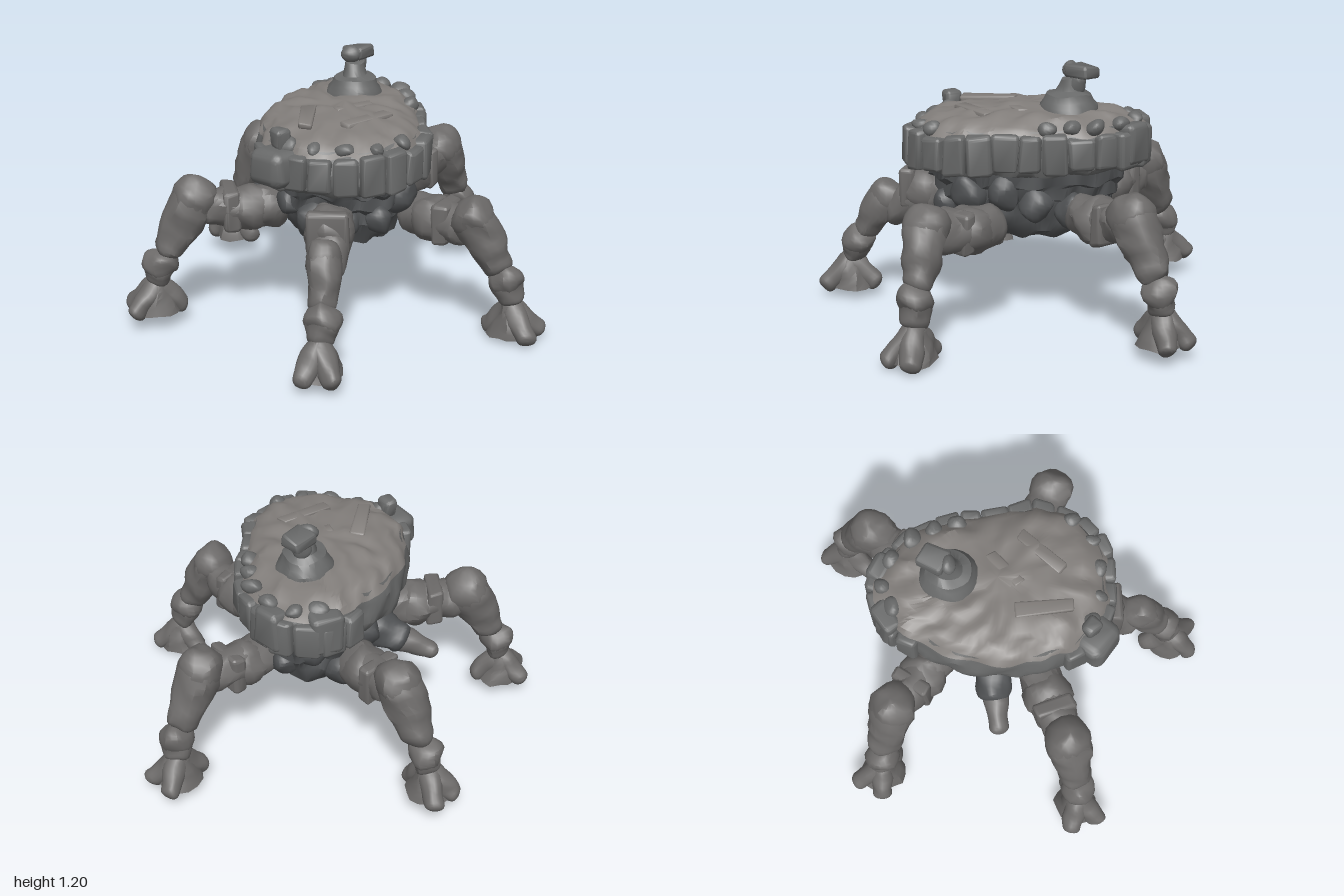
import * as THREE from 'three';
import { mergeVertices, toCreasedNormals } from 'three/addons/utils/BufferGeometryUtils.js';
import { RoundedBoxGeometry } from 'three/addons/geometries/RoundedBoxGeometry.js';

const paint = color => new THREE.MeshStandardMaterial({ color });
const DECK = paint(0x827e7b), RIM = paint(0x686969), LEG = paint(0x6c6a69), HUB = paint(0x505254);
const V = (x, y, z) => new THREE.Vector3(x, y, z);

// seeded pseudo-random numbers
let seed = 7;
const rnd = () => (seed = (seed * 16807) % 2147483647) / 2147483647;

// weathered, lumpy surface: shift every vertex by a smooth function of position
function weather(geo, amp) {
  geo.deleteAttribute('uv');
  geo.deleteAttribute('normal');
  const g = mergeVertices(geo, 1e-4);
  const p = g.attributes.position;
  const n = (a, b, c) => Math.sin(a * 31 + 2 * Math.sin(b * 23)) * 0.6 + Math.sin(b * 57 + c * 41) * 0.4;
  for (let i = 0; i < p.count; i++) {
    const x = p.getX(i), y = p.getY(i), z = p.getZ(i);
    p.setXYZ(i, x + amp * n(y, z, x), y + amp * n(z, x, y), z + amp * n(x, y, z));
  }
  return toCreasedNormals(g, 0.7);
}

function add(parent, name, mat, geo, amp = 0.01) {
  const m = new THREE.Mesh(weather(geo, amp), mat);
  m.name = name;
  parent.add(m);
}

function group(parent, name) {
  const g = new THREE.Group();
  g.name = name;
  parent.add(g);
  return g;
}

// tapered rounded segment running from a to b
function segment(parent, name, mat, a, b, ra, rb, amp) {
  const d = b.clone().sub(a), L = d.length();
  const pts = [[0, -ra * 0.75], [ra * 0.55, -ra * 0.65], [ra * 0.92, -ra * 0.25], [ra, L * 0.15],
    [(ra + rb) * 0.51, L * 0.5], [rb, L * 0.85], [rb * 0.92, L + rb * 0.25], [rb * 0.55, L + rb * 0.6], [0, L + rb * 0.7]]
    .map(q => new THREE.Vector2(...q));
  const g = new THREE.LatheGeometry(new THREE.SplineCurve(pts).getPoints(20).map((q, i) =>
    new THREE.Vector2(i === 0 || i === 20 ? 0 : Math.max(q.x, 0), q.y)), 18);
  g.applyQuaternion(new THREE.Quaternion().setFromUnitVectors(V(0, 1, 0), d.normalize()));
  add(parent, name, mat, g.translate(a.x, a.y, a.z), amp);
}

const ball = (parent, name, mat, c, r, sy = 1) =>
  add(parent, name, mat, new THREE.SphereGeometry(r, 16, 12).scale(1, sy, 1).translate(c.x, c.y, c.z));

const box = (parent, name, mat, [w, h, d], c, yaw, amp = 0.007) =>
  add(parent, name, mat, new RoundedBoxGeometry(w, h, d, 4, Math.min(w, h, d) * 0.28).rotateY(yaw).translate(c.x, c.y, c.z), amp);

// hull plan outline as [x, z]
const outline = new THREE.CatmullRomCurve3([
  [0.2, -0.44], [0.35, -0.39], [0.43, -0.26], [0.43, -0.04], [0.36, 0.12], [0.26, 0.26], [0.15, 0.44], [-0.02, 0.54],
  [-0.2, 0.54], [-0.36, 0.42], [-0.46, 0.28], [-0.48, 0.12], [-0.43, -0.03], [-0.33, -0.18], [-0.16, -0.33], [0.05, -0.41],
].map(([x, z]) => V(x, 0, z)), true);
const CX = -0.02, CZ = 0.05;
const inset = (u, k, y) => {
  const p = outline.getPointAt(u);
  return V(CX + (p.x - CX) * k, y, CZ + (p.z - CZ) * k);
};

// stack of scaled outlines, each layer [y, scale]
function stack(layers, tilt = 0) {
  const N = 96, ring = outline.getSpacedPoints(N), pos = [], idx = [];
  layers.forEach(([y, s]) => {
    for (let j = 0; j < N; j++) {
      const x = CX + (ring[j].x - CX) * s, z = CZ + (ring[j].z - CZ) * s;
      pos.push(x, y + tilt * (x - z * 0.4), z);
    }
  });
  for (let i = 0; i < layers.length - 1; i++) for (let j = 0; j < N; j++) {
    const a = i * N + j, b = i * N + (j + 1) % N;
    idx.push(a, a + N, b, b, a + N, b + N);
  }
  const g = new THREE.BufferGeometry();
  g.setAttribute('position', new THREE.Float32BufferAttribute(pos, 3));
  g.setIndex(idx);
  return g;
}

// one leg: hip, knee, ankle and foot points, with thigh radius
function leg(parent, name, hip, knee, ankle, foot, r) {
  const g = group(parent, name);
  const yaw = Math.atan2(foot.z - hip.z, foot.x - hip.x);
  segment(g, 'hipArm', LEG, hip, knee.clone().lerp(hip, 0.2).setY(knee.y - 0.05), 0.1, 0.09);
  ball(g, 'hipJoint', LEG, hip.clone().lerp(knee, 0.3).setY(hip.y), 0.115, 0.95);
  box(g, 'hipCollar', LEG, [0.07, 0.19, 0.19], hip.clone().lerp(knee, 0.55).setY(hip.y + 0.01), -yaw);
  ball(g, 'knee', LEG, knee, r * 1.02);
  segment(g, 'thighArmour', LEG, knee, knee.clone().lerp(ankle, 0.72), r, r * 0.76);
  ball(g, 'ankleJoint', LEG, ankle, 0.08, 0.9);
  const top = V(foot.x, foot.y + 0.15, foot.z).lerp(ankle, 0.3);
  segment(g, 'shin', LEG, ankle, top, 0.072, 0.062);
  // foot: splayed base with two front toes and a heel
  add(g, 'footBase', LEG, new THREE.CylinderGeometry(0.055, 0.105, 0.14, 14, 5).translate(foot.x, foot.y + 0.085, foot.z));
  [[0.55, 0.115], [-0.55, 0.115], [Math.PI, 0.11]].forEach(([a, l]) => {
    const tip = V(foot.x + Math.cos(yaw + a) * l, foot.y + 0.035, foot.z + Math.sin(yaw + a) * l);
    segment(g, 'toe', LEG, V(foot.x, foot.y + 0.14, foot.z), tip, 0.055, 0.046, 0.007);
  });
}

export function createModel() {
  const root = new THREE.Group();
  root.name = 'walker';

  // hull disc, deck and the hub beneath
  add(root, 'hull', RIM, stack([[0.72, 0], [0.715, 0.4], [0.71, 0.8], [0.72, 0.92], [0.75, 0.98], [0.79, 1], [0.83, 1],
    [0.87, 0.99], [0.9, 0.97], [0.925, 0.93]], 0.03), 0.011);
  add(root, 'deck', DECK, stack([[0.9, 0.975], [0.925, 0.93], [0.942, 0.87], [0.955, 0.81], [0.967, 0.74], [0.974, 0.65],
    [0.979, 0.55], [0.983, 0.42], [0.986, 0.28], [0.99, 0.14], [0.99, 0]], 0.03), 0.012);
  add(root, 'hub', HUB, stack([[0.385, 0], [0.39, 0.3], [0.405, 0.5], [0.44, 0.62], [0.49, 0.68], [0.53, 0.71], [0.58, 0.72],
    [0.6, 0.76], [0.65, 0.77], [0.67, 0.82], [0.74, 0.84]]), 0.015);

  // armour panels around the rim, leaving the smooth sloped flank bare
  const panels = group(root, 'rimPanels');
  const count = 26;
  for (let i = 0; i < count; i++) {
    const u = i / count, t = outline.getTangentAt(u);
    if (u > 0.73 && u < 0.93) continue;
    const c = inset(u, 0.985, 0.81 + 0.015 * rnd());
    c.y += 0.03 * c.x;
    box(panels, 'rimPanel', RIM, [0.1 + 0.02 * rnd(), 0.14 + 0.05 * rnd(), 0.07], c, Math.atan2(-t.z, t.x));
  }
  // larger rear pods, side pod and its roof box
  box(root, 'rearPod', RIM, [0.15, 0.19, 0.1], V(0.22, 0.85, -0.42), -0.2);
  box(root, 'rearPod', RIM, [0.14, 0.19, 0.1], V(0.41, 0.85, -0.28), -1.2);
  box(root, 'sidePod', RIM, [0.16, 0.16, 0.2], V(-0.485, 0.82, 0.21), 0.15);
  box(root, 'sidePodBox', RIM, [0.07, 0.09, 0.08], V(-0.455, 0.935, 0.2), 0);

  // knobs along the rear and front edges of the deck
  const knobs = group(root, 'deckKnobs');
  [0.02, 0.06, 0.11, 0.16, 0.2, 0.24, 0.44, 0.49, 0.54, 0.59, 0.64].forEach(u => {
    const c = inset(u, 0.86 + 0.07 * rnd(), 0.925);
    c.y += 0.05 * c.x - 0.01 * c.z;
    ball(knobs, 'deckKnob', RIM, c, 0.034 + 0.014 * rnd(), 0.8);
  });
  // low raised deck plates
  [[-0.25, 0.1, 0.26, 0.9], [0, 0.1, 0.2, 0], [-0.05, 0.28, 0.26, 0.1]].forEach(([x, z, w, a]) =>
    box(root, 'deckPlate', DECK, [w, 0.03, 0.06], V(x, 0.972, z), a));

  // turret: stepped base, neck and head
  const turret = group(root, 'turret');
  const prof = [[0.135, 0.96], [0.125, 1.0], [0.11, 1.02], [0.1, 1.05], [0.06, 1.065], [0.05, 1.09], [0.042, 1.12], [0, 1.13]];
  add(turret, 'turretBase', RIM, new THREE.LatheGeometry(prof.map(q => new THREE.Vector2(...q)), 24).translate(0.15, 0, -0.1), 0.007);
  segment(turret, 'turretNeck', RIM, V(0.16, 1.06, -0.11), V(0.185, 1.12, -0.13), 0.045, 0.04, 0.005);
  box(turret, 'turretHead', RIM, [0.13, 0.055, 0.11], V(0.2, 1.155, -0.14), 0.3);
  ball(turret, 'turretSensor', RIM, V(0.135, 1.155, -0.11), 0.038);

  // five walking legs
  const legs = group(root, 'legs');
  leg(legs, 'leftLeg', V(0.36, 0.53, -0.06), V(0.68, 0.605, -0.11), V(0.84, 0.3, -0.155), V(0.84, 0.05, -0.165), 0.105);
  leg(legs, 'rightLeg', V(-0.36, 0.54, -0.02), V(-0.69, 0.6, -0.16), V(-0.84, 0.3, -0.22), V(-0.86, 0.05, -0.235), 0.105);
  leg(legs, 'backLeg', V(0.02, 0.55, -0.32), V(-0.03, 0.62, -0.63), V(-0.09, 0.3, -0.78), V(-0.1, 0.07, -0.8), 0.105);
  leg(legs, 'frontRightLeg', V(-0.28, 0.55, 0.34), V(-0.46, 0.5, 0.55), V(-0.54, 0.28, 0.66), V(-0.58, 0.03, 0.69), 0.085);
  leg(legs, 'frontLeftLeg', V(0.19, 0.5, 0.34), V(0.26, 0.56, 0.67), V(0.36, 0.28, 0.78), V(0.39, 0.005, 0.8), 0.1);

  // under-slung gun between the back and right legs
  segment(root, 'gunMount', HUB, V(-0.16, 0.56, -0.14), V(-0.27, 0.52, -0.22), 0.09, 0.08);
  segment(root, 'gunBarrel', LEG, V(-0.27, 0.51, -0.22), V(-0.4, 0.44, -0.31), 0.06, 0.048, 0.006);

  // machinery lumps around the hub
  for (let i = 0; i < 14; i++)
    ball(root, 'hubPod', HUB, inset((i + 0.5) / 14, 0.68 + 0.06 * rnd(), 0.52 + 0.12 * rnd()), 0.06 + 0.025 * rnd(), 1.1);
  return root;
}
